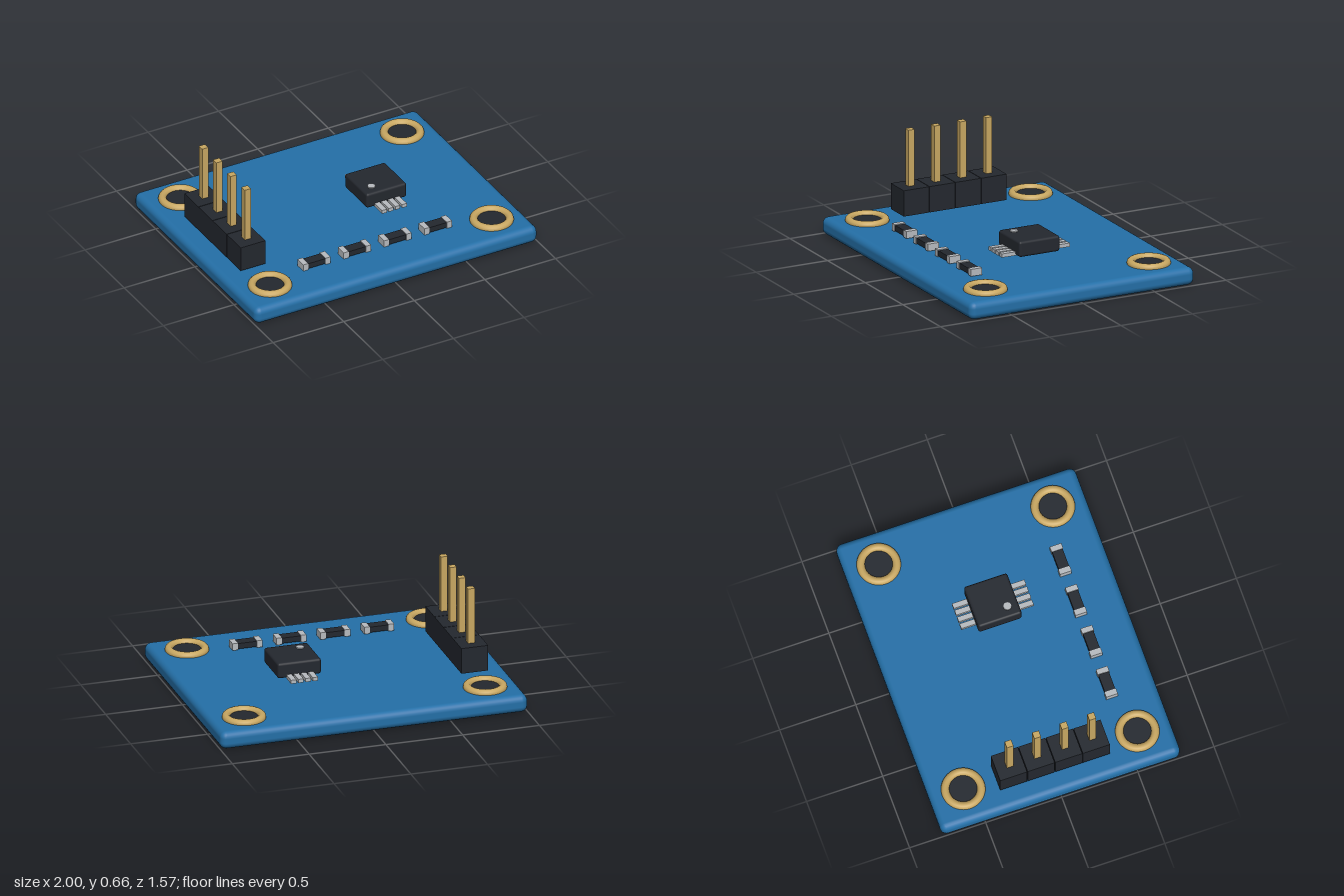
import * as THREE from 'three';
import { RoundedBoxGeometry } from 'three/addons/geometries/RoundedBoxGeometry.js';

const mat = (color) => new THREE.MeshStandardMaterial({ color });

export function createModel() {
  const model = new THREE.Group();
  const blue = mat(0x2470a8), dark = mat(0x24282f), gold = mat(0xc9a862), silver = mat(0xb8bcc0);

  const add = (name, geometry, material, x, y, z, parent = model) => {
    const mesh = new THREE.Mesh(geometry, material);
    mesh.name = name;
    mesh.position.set(x, y, z);
    parent.add(mesh);
    return mesh;
  };
  const group = (name) => {
    const g = new THREE.Group();
    g.name = name;
    model.add(g);
    return g;
  };

  // Circuit board with rounded edges
  add('board', new RoundedBoxGeometry(2, 0.115, 1.572, 3, 0.042), blue, 0, 0.0575, 0);

  // Plated mounting holes in the four corners
  const ringGeo = new THREE.TorusGeometry(0.112, 0.026, 12, 40).rotateX(Math.PI / 2);
  const holeGeo = new THREE.CylinderGeometry(0.1, 0.1, 0.02, 40);
  const holes = group('mountingHoles');
  for (const sx of [-1, 1]) {
    for (const sz of [-1, 1]) {
      add('holeRing', ringGeo, gold, sx * 0.785, 0.12, sz * 0.572, holes);
      add('holeCenter', holeGeo, dark, sx * 0.785, 0.113, sz * 0.572, holes);
    }
  }

  // Four-pin header along the right edge
  const header = group('pinHeader');
  const blockGeo = new THREE.BoxGeometry(0.174, 0.168, 0.177);
  const pinGeo = new THREE.BoxGeometry(0.043, 0.53, 0.043);
  for (let i = 0; i < 4; i++) {
    const z = (i - 1.5) * 0.181;
    add('headerBlock', blockGeo, dark, -0.787, 0.216, z, header);
    add('headerPin', pinGeo, gold, -0.787, 0.4, z, header);
  }

  // Sensor chip with its orientation dot and two rows of leads
  const chip = group('sensorChip');
  const chipX = 0.282;
  add('chipBody', new RoundedBoxGeometry(0.284, 0.102, 0.284, 2, 0.016), dark, chipX, 0.204, 0, chip);
  add('chipDot', new THREE.CylinderGeometry(0.025, 0.025, 0.012, 20), silver, 0.211, 0.256, 0.07, chip);
  const leadGeo = new THREE.BoxGeometry(0.034, 0.024, 0.11);
  for (let i = 0; i < 4; i++) {
    for (const side of [-1, 1]) {
      add('chipLead', leadGeo, silver, chipX + (i - 1.5) * 0.047, 0.165, side * 0.183, chip);
    }
  }

  // Row of small surface components with metal end caps
  const parts = group('surfaceComponents');
  const bodyGeo = new THREE.BoxGeometry(0.13, 0.036, 0.068);
  const capGeo = new THREE.BoxGeometry(0.036, 0.046, 0.076);
  for (let i = 0; i < 4; i++) {
    const x = -0.431 + i * 0.286;
    add('componentBody', bodyGeo, dark, x, 0.143, 0.497, parts);
    for (const side of [-1, 1]) add('componentCap', capGeo, silver, x + side * 0.079, 0.143, 0.497, parts);
  }

  return model;
}
